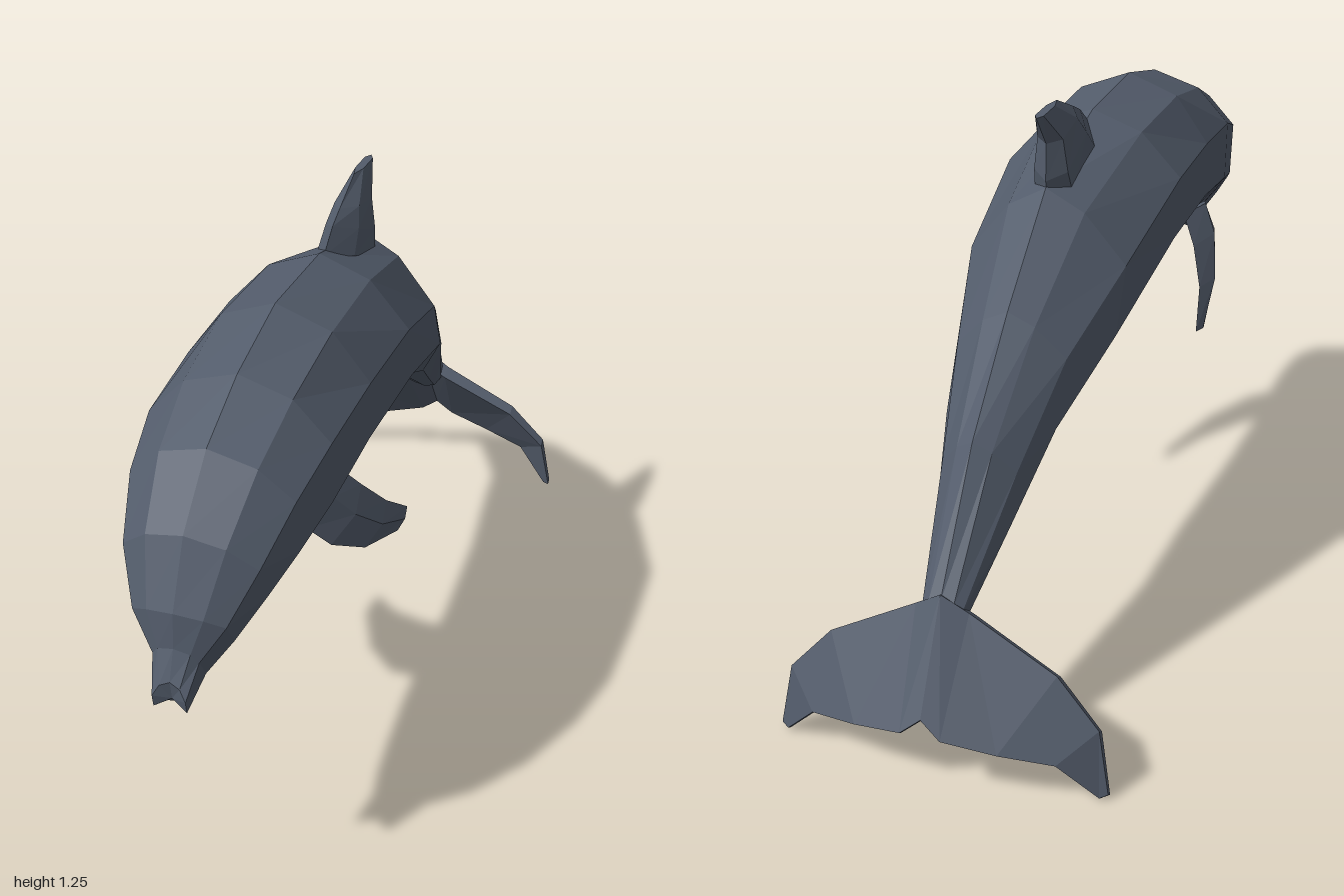
import * as THREE from 'three';

const skin = new THREE.MeshStandardMaterial({ color: 0x535c6b, flatShading: true });
skin.name = 'slate grey skin';

// Closed faceted solid through a list of equal-length rings of Vector3.
function loft(name, rings) {
  const tris = [];
  const n = rings[0].length;
  for (let i = 0; i < rings.length - 1; i++) {
    for (let j = 0; j < n; j++) {
      const k = (j + 1) % n;
      const a = rings[i][j], b = rings[i][k], c = rings[i + 1][k], d = rings[i + 1][j];
      tris.push([a, b, c], [a, c, d]);
    }
  }
  const cap = (ring, flip) => {
    const mid = ring.reduce((s, p) => s.add(p), new THREE.Vector3()).divideScalar(n);
    ring.forEach((p, j) => {
      const q = ring[(j + 1) % n];
      tris.push(flip ? [mid, q, p] : [mid, p, q]);
    });
  };
  cap(rings[0], true);
  cap(rings[rings.length - 1], false);
  // The signed volume tells whether the faces point outwards.
  const cross = new THREE.Vector3();
  const volume = tris.reduce((s, [a, b, c]) => s + a.dot(cross.crossVectors(b, c)), 0);
  if (volume < 0) tris.forEach((t) => t.reverse());
  const geometry = new THREE.BufferGeometry().setFromPoints(tris.flat());
  geometry.computeVertexNormals();
  const mesh = new THREE.Mesh(geometry, skin);
  mesh.name = name;
  return mesh;
}

const V = (x, y, z) => new THREE.Vector3(x, y, z);
const mirror = (rings) => rings.map((r) => r.map((p) => V(-p.x, p.y, p.z)));
const mix = (a, b, t) => [a[0] + (b[0] - a[0]) * t, a[1] + (b[1] - a[1]) * t];

// Body stations, beak to tail: [z, y] of back, upper flank, lower flank and belly,
// then half widths of shoulder, flank and belly edge.
const stations = [
  [[0.99, 0.645], [1.0, 0.61], [0.995, 0.58], [0.95, 0.565], 0.022, 0.036, 0.022],
  [[0.965, 0.71], [0.955, 0.68], [0.925, 0.63], [0.905, 0.6], 0.035, 0.05, 0.035],
  [[0.957, 0.79], [0.93, 0.76], [0.89, 0.7], [0.86, 0.635], 0.06, 0.1, 0.05],
  [[0.89, 0.93], [0.86, 0.86], [0.82, 0.77], [0.79, 0.67], 0.085, 0.145, 0.08],
  [[0.76, 1.05], [0.74, 0.95], [0.72, 0.82], [0.69, 0.705], 0.105, 0.178, 0.1],
  [[0.59, 1.125], [0.59, 1.0], [0.58, 0.855], [0.58, 0.735], 0.118, 0.2, 0.12],
  [[0.37, 1.175], [0.36, 1.015], [0.36, 0.88], [0.36, 0.735], 0.125, 0.208, 0.13],
  [[0.09, 1.16], [0.1, 1.01], [0.06, 0.875], [0.1, 0.708], 0.12, 0.215, 0.13],
  [[-0.23, 1.07], [-0.22, 0.905], [-0.29, 0.765], [-0.325, 0.62], 0.09, 0.185, 0.1],
  [[-0.47, 0.87], [-0.45, 0.77], [-0.52, 0.635], [-0.565, 0.495], 0.06, 0.127, 0.07],
  [[-0.68, 0.66], [-0.645, 0.585], [-0.685, 0.48], [-0.72, 0.385], 0.04, 0.085, 0.045],
  [[-0.87, 0.385], [-0.86, 0.365], [-0.845, 0.335], [-0.825, 0.31], 0.028, 0.045, 0.03],
];

function bodyRing([back, upper, lower, belly, wBack, wFlank, wBelly]) {
  const half = [
    [wBack, mix(back, upper, 0.3)], [wFlank, upper],
    [wFlank, lower], [wBelly, mix(belly, lower, 0.18)],
  ];
  const left = half.map(([x, [z, y]]) => V(x, y, z));
  const right = half.map(([x, [z, y]]) => V(-x, y, z)).reverse();
  return [V(0, back[1], back[0]), ...left, V(0, belly[1], belly[0]), ...right];
}

// Back fin: [z, y] of front and rear edges, and half width.
const backFinRings = [
  [[0.06, 1.14], [-0.22, 1.03], 0.045],
  [[0.0, 1.185], [-0.23, 1.085], 0.04],
  [[-0.05, 1.207], [-0.225, 1.17], 0.03],
  [[-0.155, 1.25], [-0.285, 1.245], 0.01],
].map(([front, rear, w]) => {
  const at = (t, x) => { const [z, y] = mix(front, rear, t); return V(x, y, z); };
  return [at(0, 0), at(0.3, w), at(0.85, w), at(1, 0), at(0.85, -w), at(0.3, -w)];
});

// Flipper: [z, y] of leading and trailing edges, x and half thickness.
const flipperRings = [
  [[0.59, 0.78], [0.39, 0.81], 0.145, 0.03],
  [[0.55, 0.72], [0.345, 0.745], 0.185, 0.027],
  [[0.43, 0.64], [0.275, 0.665], 0.222, 0.02],
  [[0.25, 0.57], [0.175, 0.588], 0.243, 0.008],
].map(([lead, trail, x, t]) => {
  const [z, y] = mix(lead, trail, 0.45);
  return [
    V(x, lead[1], lead[0]), V(x + t * 0.9, y + t * 0.45, z),
    V(x, trail[1], trail[0]), V(x - t * 0.9, y - t * 0.45, z),
  ];
});

// Tail fluke: leading point, trailing point and their half thicknesses.
const flukeNormal = V(0, 0.57, -0.82);
const flukeRings = [
  [[0, 0.39, -0.85], [0, 0.172, -0.985], 0.022, 0.005],
  [[0.06, 0.355, -0.845], [0.045, 0.135, -0.993], 0.018, 0.005],
  [[0.255, 0.255, -0.86], [0.16, 0.112, -0.97], 0.014, 0.005],
  [[0.35, 0.153, -0.875], [0.275, 0.092, -0.937], 0.011, 0.005],
  [[0.375, 0.012, -0.892], [0.358, 0.006, -0.902], 0.008, 0.005],
].map(([lead, trail, tl, tt]) => [
  V(...lead).addScaledVector(flukeNormal, tl), V(...trail).addScaledVector(flukeNormal, tt),
  V(...trail).addScaledVector(flukeNormal, -tt), V(...lead).addScaledVector(flukeNormal, -tl),
]);

export function createModel() {
  const model = new THREE.Group();
  model.name = 'dolphin';
  model.add(
    loft('body', stations.map(bodyRing)),
    loft('backFin', backFinRings),
    loft('leftFlipper', flipperRings),
    loft('rightFlipper', mirror(flipperRings)),
    loft('leftFluke', flukeRings),
    loft('rightFluke', mirror(flukeRings)),
  );
  return model;
}
